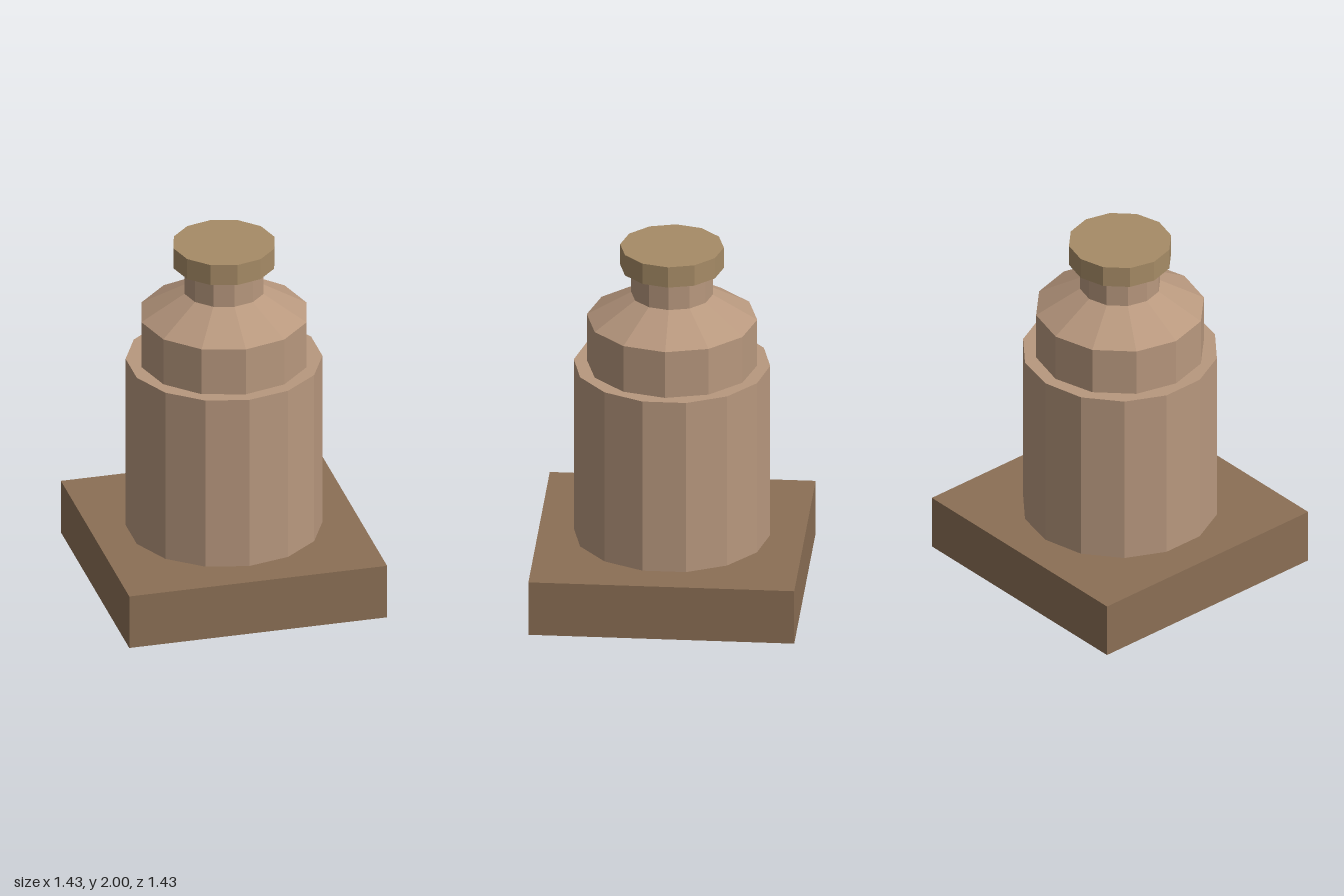
import * as THREE from 'three';

const material = (color) => new THREE.MeshStandardMaterial({ color, flatShading: true });

export function createModel() {
  const model = new THREE.Group();
  model.name = 'jarOnPlinth';
  const wood = material(0x8b6f55);
  const clay = material(0xb8987e);
  const lid = material(0xa68b66);

  // Adds a faceted round section between two heights
  const section = (name, bottom, top, bottomRadius, topRadius, sides, mat) => {
    const geometry = new THREE.CylinderGeometry(topRadius, bottomRadius, top - bottom, sides);
    const mesh = new THREE.Mesh(geometry, mat);
    mesh.name = name;
    mesh.position.y = (bottom + top) / 2;
    model.add(mesh);
  };

  // Square plinth
  const base = new THREE.Mesh(new THREE.BoxGeometry(1.435, 0.31, 1.435), wood);
  base.name = 'base';
  base.position.y = 0.155;
  model.add(base);

  // Stacked sections, from the body up to the cap
  section('body', 0.31, 1.31, 0.53, 0.53, 14, clay);
  section('shoulder', 1.31, 1.58, 0.46, 0.46, 12, clay);
  section('taper', 1.58, 1.72, 0.46, 0.22, 12, clay);
  section('neck', 1.72, 1.88, 0.22, 0.22, 12, clay);
  section('cap', 1.88, 2.0, 0.28, 0.28, 12, lid);

  return model;
}
